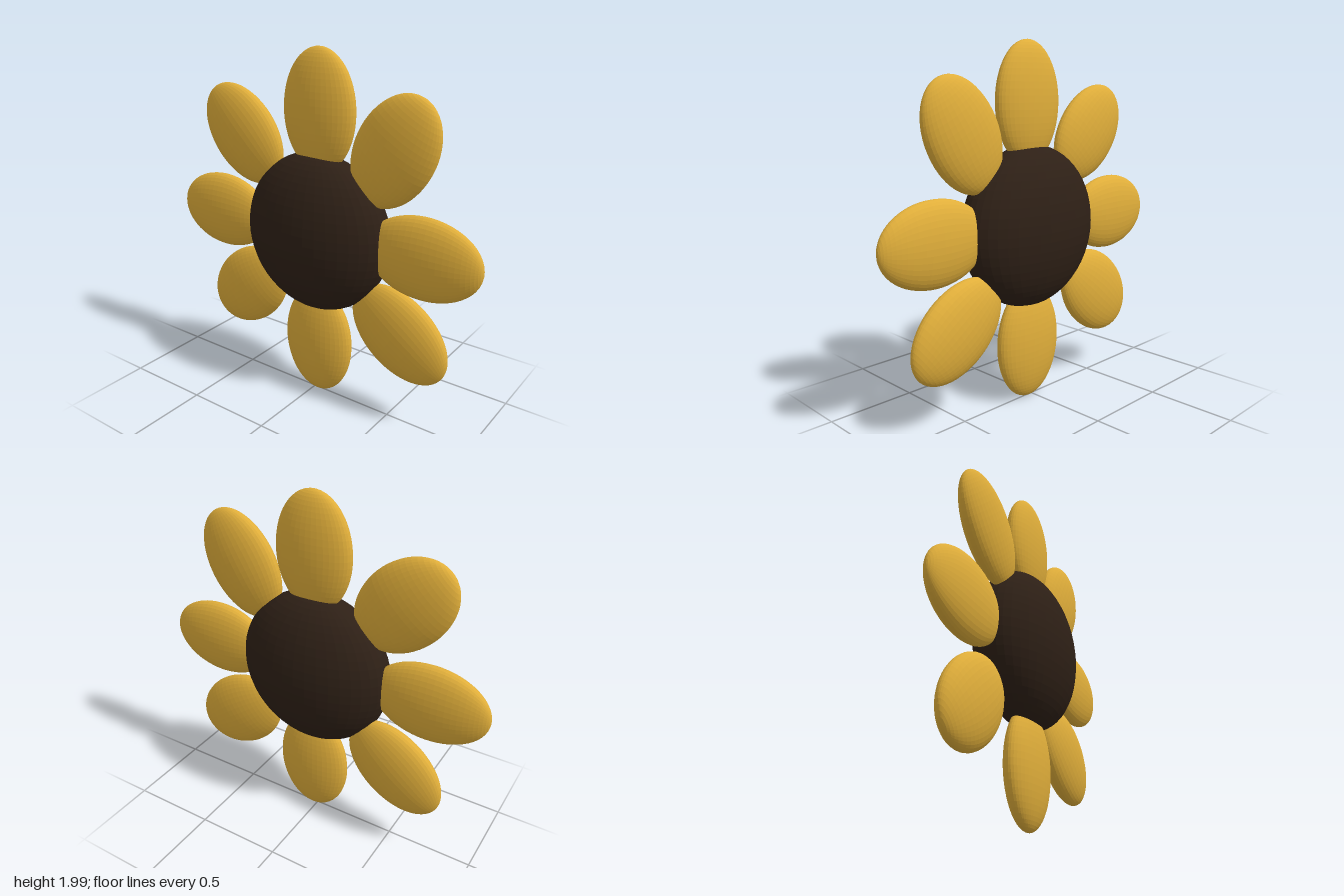
import * as THREE from 'three';

const gold = new THREE.MeshStandardMaterial({ color: 0xe0ae3a, flatShading: true });
const brown = new THREE.MeshStandardMaterial({ color: 0x2e2016, flatShading: true });

// Petals: centre x, y, z, direction of the long axis in degrees, half length
const PETALS = [
  [0.025, 1.667, 0, 90, 0.328],
  [0.479, 1.508, -0.005, 60, 0.321],
  [0.667, 0.993, 0, 0, 0.328],
  [0.545, 0.524, -0.013, -36, 0.321],
  [0.025, 0.332, 0, -90, 0.328],
  [-0.516, 0.524, -0.03, 220, 0.321],
  [-0.672, 0.993, 0, 180, 0.328],
  [-0.489, 1.487, 0.015, 135, 0.321],
];

export function createModel() {
  const flower = new THREE.Group();
  flower.name = 'flower';
  const ball = new THREE.SphereGeometry(1, 40, 28);

  // Flattened seed head
  const seedHead = new THREE.Mesh(ball, brown);
  seedHead.name = 'seedHead';
  seedHead.scale.set(0.45, 0.45, 0.235);
  seedHead.position.set(0.014, 0.995, 0);
  flower.add(seedHead);

  // Ring of thin oval petals, poles at the tips
  const petals = new THREE.Group();
  petals.name = 'petals';
  PETALS.forEach(([x, y, z, angle, half], i) => {
    const petal = new THREE.Mesh(ball, gold);
    petal.name = `petal${i + 1}`;
    petal.scale.set(0.224, half, 0.086);
    petal.rotation.z = THREE.MathUtils.degToRad(angle - 90);
    petal.position.set(x, y, z);
    petals.add(petal);
  });
  flower.add(petals);
  return flower;
}
